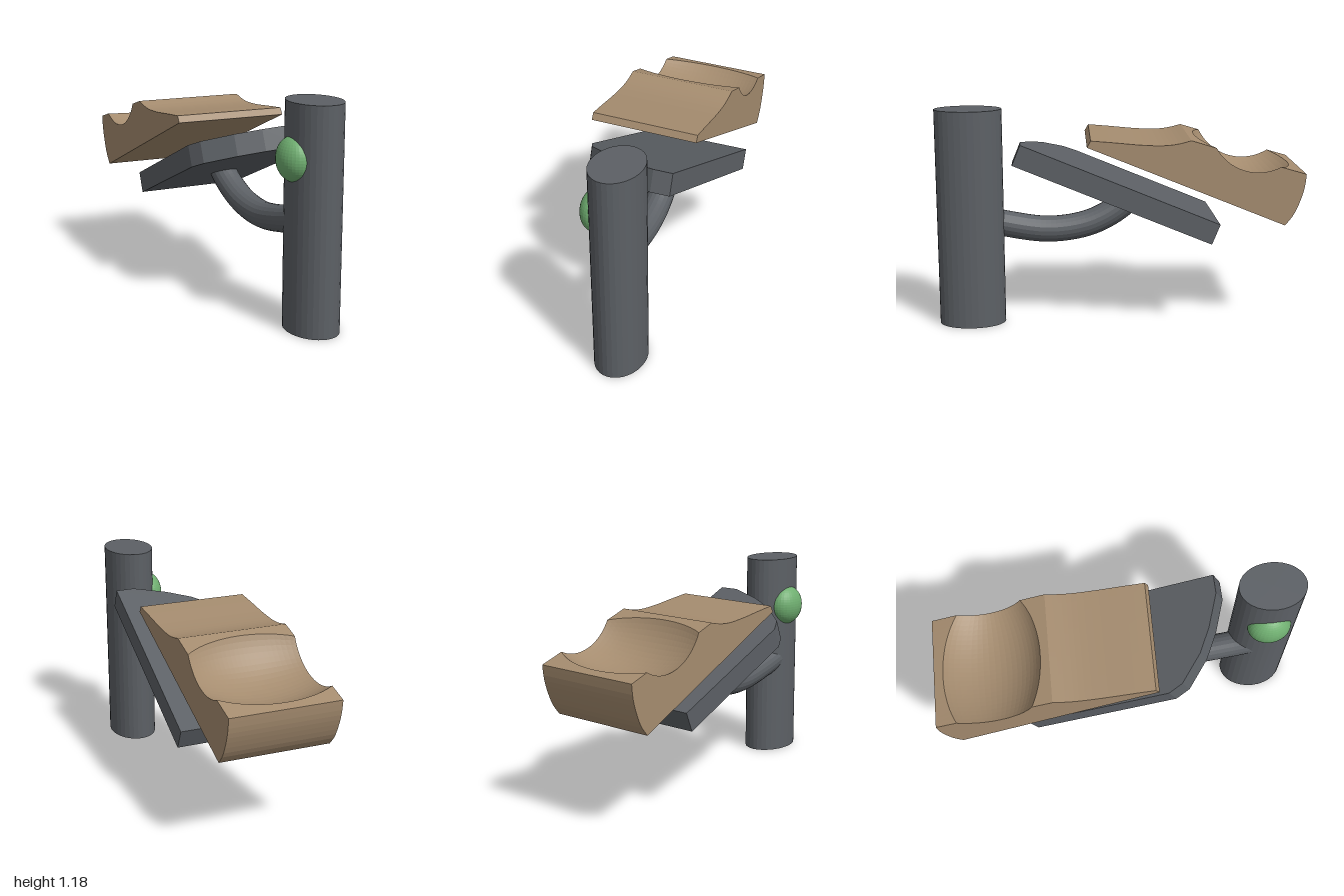
import * as THREE from 'three';

const mat = (color) => new THREE.MeshStandardMaterial({ color, flatShading: true });
const METAL = mat(0x5c6065), WOOD = mat(0xa58c6f), GREEN = mat(0x6fae70);

function add(group, name, geometry, material) {
  const mesh = new THREE.Mesh(geometry, material);
  mesh.name = name;
  group.add(mesh);
  return mesh;
}

const v2 = ([z, y]) => new THREE.Vector2(z, y);

// Side profile of the seat as (z, y) points; the hollow narrows away from its middle
function seatProfile(x) {
  const front = new THREE.SplineCurve([
    [0.165, 1.025], [0.05, 1.015], [-0.1, 1.0], [-0.22, 0.995], [-0.3, 1.003], [-0.37, 1.02],
  ].map(v2)).getPoints(16);

  // Arc of an ellipsoid whose centre floats above the sloping deck
  const dx = x + 0.05, h = 0.193;
  const r = Math.sqrt(0.114 - 0.409 * dx * dx);
  const half = Math.acos(h / r);
  const hollow = [];
  for (let i = 0; i <= 20; i++) {
    const a = -half + (2 * half * i) / 20;
    const t = r * Math.sin(a), n = h - r * Math.cos(a);
    hollow.push(new THREE.Vector2(-0.68 - 0.957 * t - 0.293 * n, 0.925 - 0.293 * t + 0.957 * n));
  }

  const back = new THREE.SplineCurve([
    [-0.995, 0.83], [-0.987, 0.76], [-0.967, 0.69], [-0.932, 0.61], [-0.885, 0.55],
  ].map(v2)).getPoints(10);
  return [...front, ...hollow, ...back, new THREE.Vector2(0.185, 0.99)];
}

// Loft the profiles from side to side and close both ends
function seatGeometry() {
  const x0 = -0.33, x1 = 0.275, steps = 24;
  const pos = [], idx = [];
  let n = 0;
  for (let i = 0; i <= steps; i++) {
    const x = x0 + ((x1 - x0) * i) / steps;
    const profile = seatProfile(x);
    n = profile.length;
    for (const p of profile) pos.push(x, p.y, p.x + 0.03 * (x + 0.03));
  }
  for (let i = 0; i < steps; i++) {
    for (let j = 0; j < n; j++) {
      const a = i * n + j, b = i * n + ((j + 1) % n);
      idx.push(a, a + n, b, b, a + n, b + n);
    }
  }
  for (const [x, base, side] of [[x0, 0, -1], [x1, steps * n, 1]]) {
    const p = seatProfile(x);
    for (const [a, b, c] of THREE.ShapeUtils.triangulateShape(p, [])) {
      const e = p[b].clone().sub(p[a]), f = p[c].clone().sub(p[a]);
      const facing = e.y * f.x - e.x * f.y;
      if (facing * side > 0) idx.push(base + a, base + b, base + c);
      else idx.push(base + a, base + c, base + b);
    }
  }
  const g = new THREE.BufferGeometry();
  g.setAttribute('position', new THREE.Float32BufferAttribute(pos, 3));
  g.setIndex(idx);
  g.computeVertexNormals();
  return g;
}

export function createModel() {
  const model = new THREE.Group();
  model.name = 'postMountedSeat';

  // Oval upright post
  const post = add(model, 'post', new THREE.CylinderGeometry(1, 1, 1.18, 32), METAL);
  post.scale.set(0.135, 1, 0.18);
  post.position.set(0.11, 0.59, 0.82);

  // Domed button set into the side of the post
  const button = add(model, 'button', new THREE.SphereGeometry(1, 32, 24), GREEN);
  button.scale.set(0.09, 0.117, 0.117);
  button.position.set(0.005, 0.895, 0.815);

  // Curved arm from the post to the underside of the plate
  const path = new THREE.CatmullRomCurve3([
    [0.055, 0.575, 0.78], [0.055, 0.54, 0.64], [0.052, 0.503, 0.4], [0.045, 0.525, 0.2],
    [0.038, 0.577, 0.07], [0.03, 0.645, -0.03], [0.03, 0.69, -0.08],
  ].map((p) => new THREE.Vector3(...p)));
  add(model, 'supportArm', new THREE.TubeGeometry(path, 32, 0.072, 20), METAL);

  // Sloping plate with one cut-away corner
  const outline = new THREE.Shape([
    [-0.28, 0], [0.325, 0.01], [0.285, 1.157], [0.18, 1.157], [0, 1.09],
    [-0.13, 1.02], [-0.27, 0.9], [-0.305, 0.82],
  ].map(v2));
  const plate = add(model, 'plate',
    new THREE.ExtrudeGeometry(outline, { depth: 0.117, bevelEnabled: false }), METAL);
  plate.rotation.x = THREE.MathUtils.degToRad(67.6);
  plate.position.set(0, 0.568, -0.525);

  // Wooden seat with a dished hollow
  add(model, 'seat', seatGeometry(), WOOD);

  return model;
}
